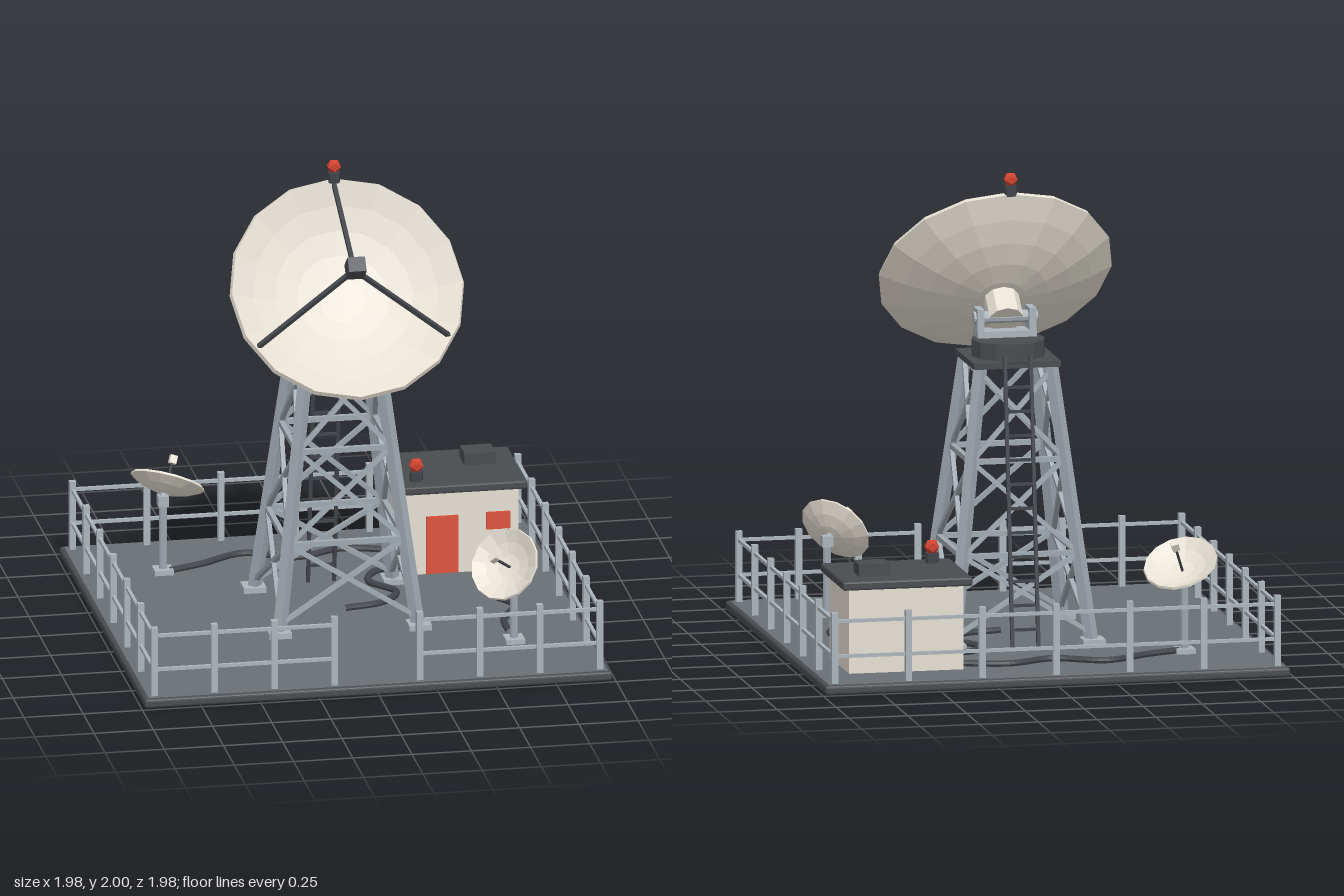
import * as THREE from 'three';
import { RoundedBoxGeometry } from 'three/addons/geometries/RoundedBoxGeometry.js';

const mat = (name, color) => {
  const m = new THREE.MeshStandardMaterial({ color, flatShading: true });
  m.name = name;
  return m;
};
const M = {
  cream: mat('cream', 0xe6e0d4),
  steel: mat('steel', 0x9fa8b1),
  rail: mat('rail grey', 0xacb5bc),
  ground: mat('ground grey', 0x6a7074),
  dark: mat('dark grey', 0x494c50),
  black: mat('charcoal', 0x41454a),
  red: mat('door red', 0xdf543f),
  lamp: mat('lamp red', 0xd2432f),
};
const V = (x, y, z) => new THREE.Vector3(x, y, z);
const UP = V(0, 1, 0);

function add(parent, name, geo, material, x = 0, y = 0, z = 0) {
  const m = new THREE.Mesh(geo, material);
  m.name = name;
  m.position.set(x, y, z);
  parent.add(m);
  return m;
}
const box = (parent, name, material, w, h, d, x, y, z) =>
  add(parent, name, new THREE.BoxGeometry(w, h, d), material, x, y, z);

// Square bar between two points
function beam(parent, name, material, a, b, w) {
  const m = box(parent, name, material, w, a.distanceTo(b), w, 0, 0, 0);
  m.position.copy(a).add(b).multiplyScalar(0.5);
  m.quaternion.setFromUnitVectors(UP, b.clone().sub(a).normalize());
  return m;
}

function group(parent, name) {
  const g = new THREE.Group();
  g.name = name;
  parent.add(g);
  return g;
}

// Closed bowl opening along +y, rim at y = 0
function bowl(r, depth, t, sides, rings) {
  const pts = [];
  for (let i = 0; i <= rings; i++) {
    const k = i / rings;
    pts.push(new THREE.Vector2(r * k, -depth * (1 - k * k)));
  }
  for (let i = rings; i >= 0; i--) {
    const k = i / rings;
    pts.push(new THREE.Vector2((r - t * 0.4) * k, t - depth * (1 - k * k)));
  }
  return new THREE.LatheGeometry(pts, sides);
}

function beacon(parent, x, y, z, r) {
  const g = group(parent, 'beacon');
  g.position.set(x, y, z);
  add(g, 'beaconBase', new THREE.CylinderGeometry(r * 0.9, r * 0.9, 0.045, 8), M.black, 0, 0.0225, 0);
  add(g, 'beaconLamp', new THREE.IcosahedronGeometry(r * 1.05), M.lamp, 0, 0.045 + r * 0.8, 0);
}

function buildTower(root) {
  const tower = group(root, 'tower');
  const y0 = 0.06, y1 = 1.2;
  const half = y => 0.29 + (0.15 - 0.29) * (y - y0) / (y1 - y0);
  const corners = [[1, 1], [1, -1], [-1, -1], [-1, 1]];
  const at = (c, y) => V(c[0] * half(y), y, c[1] * half(y));
  const levels = [0.09, 0.42, 0.81, 1.18];
  corners.forEach((c, i) => {
    const n = corners[(i + 1) % 4];
    box(tower, 'footPad', M.rail, 0.095, 0.025, 0.095, c[0] * 0.295, 0.053, c[1] * 0.295);
    // Legs turned so a flat side faces the diagonal
    beam(tower, 'leg', M.steel, at(c, 0.05), at(c, y1), 0.042).rotateY(Math.PI / 4);
    for (let k = 0; k < 3; k++) {
      beam(tower, 'crossBrace', M.steel, at(c, levels[k]), at(n, levels[k + 1]), 0.019);
      beam(tower, 'crossBrace', M.steel, at(n, levels[k]), at(c, levels[k + 1]), 0.019);
      if (k) beam(tower, 'girt', M.steel, at(c, levels[k]), at(n, levels[k]), 0.022);
    }
  });
  box(tower, 'platform', M.dark, 0.37, 0.025, 0.37, 0, 1.208, 0);
  add(tower, 'turntable', new THREE.CylinderGeometry(0.155, 0.155, 0.07, 12), M.dark, 0, 1.255, 0);

  // Ladder leaning on the back
  const ladder = group(root, 'ladder');
  const point = (x, y) => V(x, y, -0.345 + 0.155 * (y - 0.045) / 1.2);
  for (const s of [-1, 1]) beam(ladder, 'ladderRail', M.black, point(s * 0.055, 0.045), point(s * 0.055, 1.25), 0.015);
  for (let i = 0; i < 12; i++) {
    const y = 0.12 + i * 0.1;
    beam(ladder, 'rung', M.black, point(-0.055, y), point(0.055, y), 0.012);
  }
}

function buildMainDish(root) {
  // Yoke
  const yoke = group(root, 'yoke');
  box(yoke, 'yokeBase', M.rail, 0.25, 0.03, 0.1, 0, 1.302, 0.06);
  for (const s of [-1, 1]) box(yoke, 'yokeArm', M.rail, 0.03, 0.12, 0.084, s * 0.11, 1.35, 0.06);
  const axle = add(yoke, 'axle', new THREE.CylinderGeometry(0.026, 0.026, 0.27, 10), M.rail, 0, 1.37, 0.06);
  axle.rotation.z = Math.PI / 2;

  // Reflector, tilted about the axle; local +y is the aim direction
  const dish = group(root, 'mainDish');
  dish.position.set(0, 1.37, 0.06);
  dish.rotation.x = THREE.MathUtils.degToRad(50);
  add(dish, 'hub', new THREE.CylinderGeometry(0.075, 0.075, 0.12, 10), M.cream, 0, 0.042, 0);
  add(dish, 'reflector', bowl(0.495, 0.155, 0.02, 16, 5), M.cream, 0, 0.248, 0);
  box(dish, 'feedHorn', M.dark, 0.074, 0.09, 0.065, 0, 0.507, 0.004);
  for (let i = 0; i < 3; i++) {
    const a = i * Math.PI * 2 / 3;
    beam(dish, 'feedStrut', M.black, V(0.475 * Math.sin(a), 0.25, -0.475 * Math.cos(a)), V(0, 0.475, 0), 0.018);
  }
  beacon(root, 0, 1.9, -0.05, 0.03);
}

function buildSmallDish(root, center, aim) {
  const g = group(root, 'smallDish');
  const n = aim.normalize();
  const pivot = center.clone().addScaledVector(n, -0.078);
  box(g, 'mastPad', M.rail, 0.08, 0.022, 0.08, pivot.x, 0.052, pivot.z);
  add(g, 'mast', new THREE.CylinderGeometry(0.017, 0.017, pivot.y - 0.04, 8), M.steel, pivot.x, (pivot.y + 0.04) / 2, pivot.z);
  box(g, 'mastHead', M.rail, 0.045, 0.045, 0.045, pivot.x, pivot.y, pivot.z);
  const dish = group(g, 'smallReflectorGroup');
  dish.position.copy(center);
  dish.quaternion.setFromUnitVectors(UP, n);
  add(dish, 'smallReflector', bowl(0.158, 0.05, 0.01, 14, 3), M.cream);
  add(dish, 'neck', new THREE.CylinderGeometry(0.02, 0.02, 0.03, 8), M.steel, 0, -0.064, 0);
  add(dish, 'feedRod', new THREE.CylinderGeometry(0.006, 0.006, 0.13, 6), M.black, 0, 0.025, 0);
  box(dish, 'smallFeed', M.cream, 0.03, 0.035, 0.03, 0, 0.1, 0);
}

function buildHut(root) {
  const hut = group(root, 'hut');
  box(hut, 'walls', M.cream, 0.485, 0.36, 0.385, 0.593, 0.22, -0.553);
  add(hut, 'roof', new RoundedBoxGeometry(0.55, 0.037, 0.447, 1, 0.008), M.dark, 0.593, 0.417, -0.557);
  box(hut, 'roofVent', M.dark, 0.132, 0.055, 0.11, 0.712, 0.46, -0.62);
  box(hut, 'door', M.red, 0.135, 0.25, 0.0095, 0.513, 0.17, -0.356);
  box(hut, 'window', M.red, 0.1, 0.075, 0.0095, 0.75, 0.262, -0.356);
  beacon(hut, 0.415, 0.432, -0.42, 0.032);
}

function buildFence(root) {
  const fence = group(root, 'fence');
  const E = 0.94;
  // Straight run of posts with two rails, posts counted from a to b
  const run = (a, b, segments) => {
    for (let i = 0; i <= segments; i++) {
      const p = a.clone().lerp(b, i / segments);
      box(fence, 'fencePost', M.rail, 0.027, 0.3, 0.027, p.x, 0.19, p.z);
    }
    for (const y of [0.155, 0.303])
      beam(fence, 'fenceRail', M.rail, a.clone().setY(y), b.clone().setY(y), 0.014);
  };
  run(V(-E, 0, -E), V(E, 0, -E), 6);
  for (const s of [-1, 1]) {
    run(V(s * E, 0, -E), V(s * E, 0, E), 6);
    run(V(s * E, 0, E), V(s * 0.18, 0, E), 3);
  }
}

function buildCables(root) {
  const paths = [
    [[-0.6, -0.57], [-0.45, -0.63], [-0.26, -0.73], [-0.05, -0.64], [0.15, -0.715], [0.36, -0.66]],
    [[0.71, -0.38], [0.76, -0.23], [0.655, -0.06], [0.73, 0.11], [0.655, 0.29], [0.65, 0.45]],
    [[0.36, -0.45], [0.24, -0.41], [0.19, -0.29], [0.28, -0.14], [0.2, -0.02], [0.03, 0.03]],
  ];
  for (const p of paths) {
    const curve = new THREE.CatmullRomCurve3(p.map(([x, z]) => V(x, 0.052, z)));
    add(root, 'cable', new THREE.TubeGeometry(curve, 48, 0.015, 8), M.black);
  }
}

export function createModel() {
  const root = new THREE.Group();
  root.name = 'radioStation';
  add(root, 'baseSlab', new RoundedBoxGeometry(1.975, 0.04, 1.975, 2, 0.012), M.dark, 0, 0.02, 0);
  box(root, 'yardSurface', M.ground, 1.94, 0.008, 1.94, 0, 0.038, 0);
  buildTower(root);
  buildMainDish(root);
  buildSmallDish(root, V(-0.6, 0.425, -0.61), V(0.32, 0.83, -0.45));
  buildSmallDish(root, V(0.605, 0.4, 0.59), V(-0.6, 0.53, 0.6));
  buildHut(root);
  buildFence(root);
  buildCables(root);
  return root;
}
